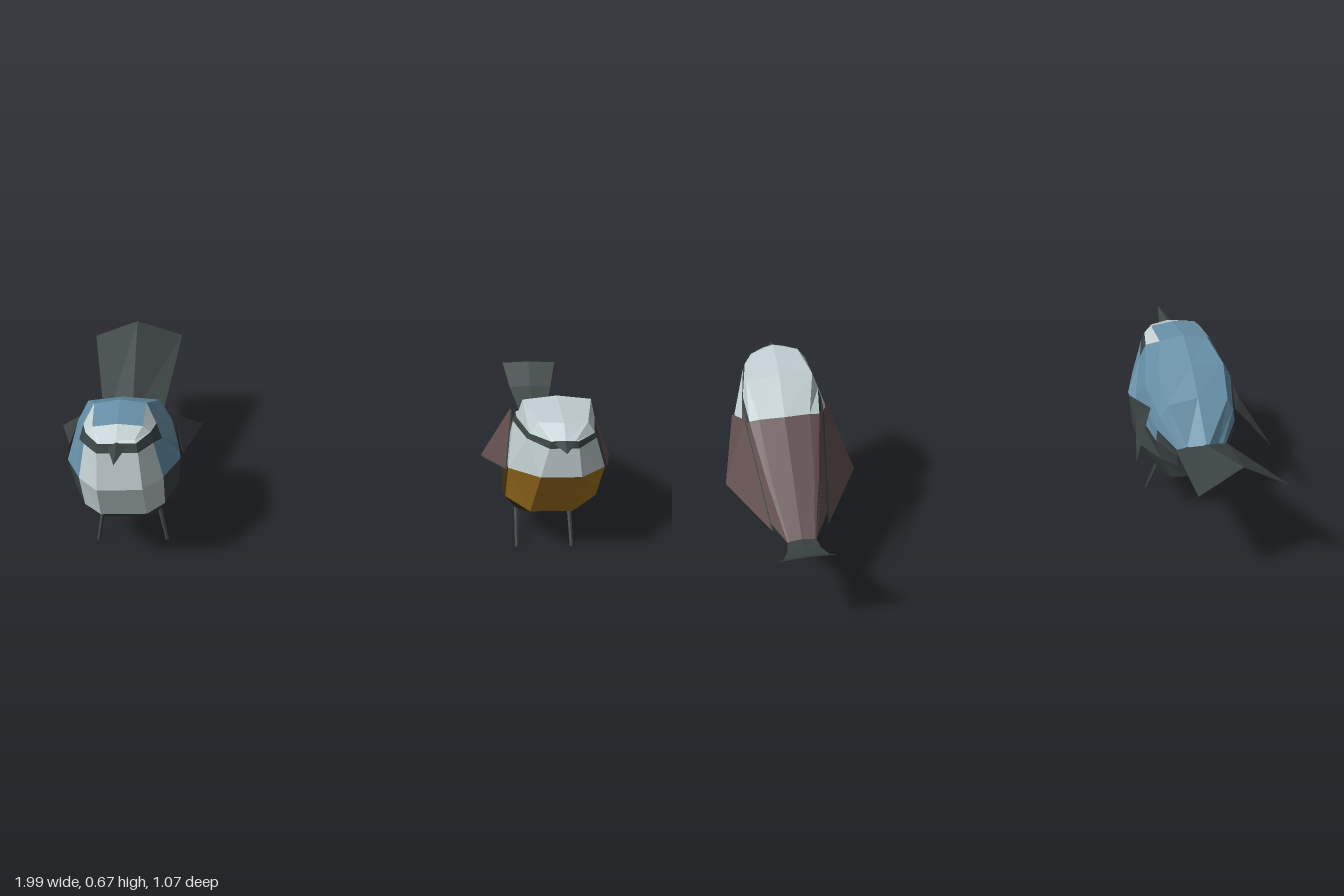
import * as THREE from 'three';

const mat = (name, color, side = THREE.FrontSide) => {
  const m = new THREE.MeshStandardMaterial({ color, side });
  m.name = name;
  return m;
};
const pale = mat('pale grey', 0xc4d1d4);
const dark = mat('charcoal', 0x3d4545, THREE.DoubleSide);
const blue = mat('slate blue', 0x6891a8);
const brown = mat('dusky brown', 0x655152);
const ochre = mat('ochre', 0xa57420);
const olive = mat('olive brown', 0x46380e);

// letters used in the colour grids of the bodies
const parts = {
  c: ['crown', pale], k: ['cheeks', pale], s: ['eyeStripe', dark], r: ['back', brown],
  o: ['chest', ochre], l: ['belly', olive], f: ['flank', dark], b: ['blueBack', blue],
  w: ['breast', pale], d: ['darkBelly', dark],
};

function facets(name, material, positions) {
  const g = new THREE.BufferGeometry();
  g.setAttribute('position', new THREE.Float32BufferAttribute(positions, 3));
  g.computeVertexNormals();
  const mesh = new THREE.Mesh(g, material);
  mesh.name = name;
  return mesh;
}
const flip = (p) => [-p[0], p[1], p[2]];
const quad = (a, b, c, d) => [a, b, c, a, c, d].flat();

// Mirrored hull: lines run beak to tail, listed from the spine round to the belly.
// Each colour row starts with the front face, then one letter per cell.
function body(lines, colours) {
  const buckets = {};
  const add = (key, ...q) => (buckets[key] ??= []).push(...quad(...q));
  const rows = [...lines, lines.at(-1).map((p) => [0, p[1], p[2]])];
  for (let i = 0; i < rows.length - 1; i++) {
    const u = rows[i], v = rows[i + 1], n = u.length - 1;
    const row = colours[Math.min(i, colours.length - 1)];
    add(row[0], u[0], flip(u[0]), flip(v[0]), v[0]);
    for (let j = 0; j < n; j++) {
      add(row[j + 1], u[j], v[j], v[j + 1], u[j + 1]);
      add(row[j + 1], flip(u[j + 1]), flip(v[j + 1]), flip(v[j]), flip(u[j]));
    }
    add(row[n], u[n], v[n], flip(v[n]), flip(u[n]));
  }
  const g = new THREE.Group();
  g.name = 'body';
  for (const key in buckets) g.add(facets(parts[key][0], parts[key][1], buckets[key]));
  return g;
}

// Wing plates: corners are front, top, tip and outer edge
function wings(name, material, [a, b, c, d], offset = [0, 0]) {
  const g = new THREE.Group();
  g.name = name;
  const [p, q, r, s] = [a, b, c, d].map((v) => [v[0] + offset[0], v[1] + offset[1], v[2]]);
  g.add(facets('leftWing', material, quad(s, r, q, p)));
  g.add(facets('rightWing', material, [p, q, s, q, r, s].flatMap(flip)));
  g.children[0].geometry = facets('', material, [p, s, q, s, r, q].flat()).geometry;
  return g;
}

// Folded fan: each step is [half width, ridge y, edge y, ridge z, edge z]
function tail(steps) {
  const pos = [];
  for (let i = 0; i < steps.length - 1; i++) {
    const [m0, e0, m1, e1] = [steps[i], steps[i + 1]].flatMap(
      ([w, my, ey, mz, ez]) => [[0, my, mz], [w, ey, ez]]);
    pos.push(...quad(m0, e0, e1, m1), ...quad(m1, flip(e1), flip(e0), m0));
  }
  return facets('tail', dark, pos);
}

function legs(top, foot) {
  const g = new THREE.Group();
  g.name = 'legs';
  for (const side of [1, -1]) {
    const a = new THREE.Vector3(top[0] * side, top[1], top[2]);
    const b = new THREE.Vector3(foot[0] * side, foot[1], foot[2]);
    const geo = new THREE.CylinderGeometry(0.009, 0.006, a.distanceTo(b), 4).toNonIndexed();
    geo.computeVertexNormals();
    const leg = new THREE.Mesh(geo, dark);
    leg.name = side > 0 ? 'leftLeg' : 'rightLeg';
    leg.position.copy(a).add(b).multiplyScalar(0.5);
    leg.quaternion.setFromUnitVectors(new THREE.Vector3(0, 1, 0), a.sub(b).normalize());
    g.add(leg);
  }
  return g;
}

function beak(y, z, tipY, tipZ, w, h) {
  const t = [0, tipY, tipZ], n = [0, y + h, z], s = [0, y - h, z], e = [w, y, z];
  return facets('beak', dark, [t, n, flip(e), t, flip(e), s, t, s, e, t, e, n].flat());
}

function brownBird() {
  const g = new THREE.Group();
  g.name = 'brownBird';
  g.add(body([
    [[0, .637, .48], [0, .67, .42], [0, .655, .23], [0, .545, .12], [0, .40, -.05], [0, .26, -.23]],
    [[.035, .633, .473], [.085, .657, .395], [.118, .643, .235], [.09, .54, .13], [.075, .39, -.05], [.045, .255, -.23]],
    [[.045, .628, .47], [.11, .615, .40], [.135, .575, .24], [.125, .53, .14], [.09, .38, -.05], [.048, .253, -.23]],
    [[.05, .60, .47], [.118, .595, .40], [.143, .545, .22], [.132, .52, .15], [.10, .36, -.05], [.05, .252, -.23]],
    [[.07, .478, .465], [.167, .438, .35], [.16, .37, .18], [.155, .31, .08], [.12, .285, -.08], [.05, .25, -.23]],
    [[.075, .23, .325], [.16, .265, .28], [.158, .22, .17], [.14, .215, .03], [.10, .225, -.08], [.045, .248, -.23]],
    [[.08, .175, .25], [.11, .155, .2], [.11, .133, .12], [.10, .13, .07], [.08, .19, -.03], [.03, .245, -.23]],
  ], ['ccccrr', 'ccccrr', 'ssssrr', 'kkkrrr', 'oollff', 'llllll']));
  const wing = [[.176, .437, .35], [.142, .545, .135], [.10, .30, -.21], [.232, .31, .09]];
  g.add(wings('wings', brown, wing));
  g.add(wings('wingLinings', dark, wing, [-.005, -.008]));
  g.add(tail([
    [.05, .255, .25, -.22, -.22], [.058, .272, .268, -.30, -.30],
    [.078, .30, .295, -.38, -.38], [.10, .357, .352, -.465, -.465],
  ]));
  g.add(beak(.62, .465, .62, .53, .04, .018));
  g.add(legs([.095, .15, .09], [.10, .005, .24]));
  return g;
}

function blueBird() {
  const g = new THREE.Group();
  g.name = 'blueBird';
  g.add(body([
    [[0, .605, .40], [0, .632, .34], [0, .645, .21], [0, .585, .10], [0, .50, 0], [0, .36, -.14]],
    [[.06, .60, .39], [.085, .622, .34], [.09, .63, .21], [.125, .57, .10], [.115, .48, 0], [.06, .35, -.09]],
    [[.065, .592, .40], [.11, .597, .34], [.125, .585, .27], [.165, .50, .12], [.14, .43, 0], [.08, .34, -.085]],
    [[.07, .56, .41], [.118, .56, .35], [.142, .53, .28], [.185, .44, .17], [.15, .38, 0], [.09, .33, -.08]],
    [[.078, .42, .43], [.145, .42, .355], [.197, .41, .23], [.188, .38, .15], [.15, .33, 0], [.09, .30, -.07]],
    [[.08, .27, .365], [.14, .275, .31], [.183, .28, .20], [.175, .25, .1], [.13, .25, 0], [.08, .25, -.06]],
    [[.08, .145, .21], [.10, .14, .18], [.105, .14, .13], [.10, .14, .07], [.085, .16, 0], [.05, .19, -.05]],
  ], ['ccbbbb', 'cccbbb', 'sssbbb', 'wwbbbd', 'wwdddd', 'dddddd']));
  g.add(wings('wings', dark, [[.202, .42, .19], [.17, .46, .03], [.258, .325, -.11], [.195, .35, .12]]));
  g.add(tail([[.10, .365, .335, -.10, -.08], [.165, .53, .45, -.508, -.535]]));
  g.add(beak(.58, .40, .595, .53, .032, .018));
  g.add(legs([.095, .16, .125], [.125, .005, .17]));
  return g;
}

export function createModel() {
  const model = new THREE.Group();
  model.name = 'twoSmallBirds';
  const left = brownBird(), right = blueBird();
  left.position.x = 0.765;
  right.position.x = -0.733;
  model.add(left, right);
  return model;
}
